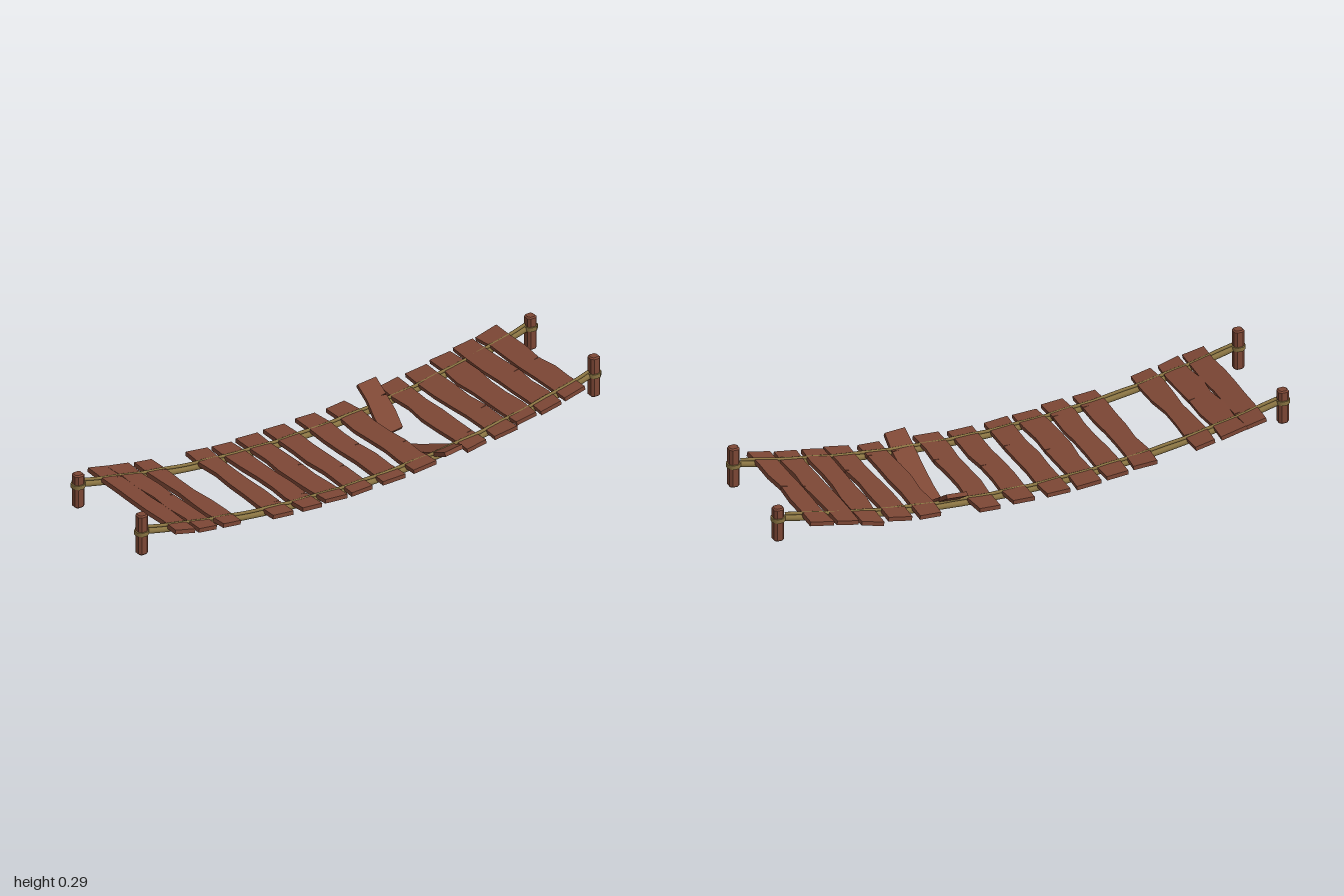
import * as THREE from 'three';

const wood = new THREE.MeshStandardMaterial({ color: 0x7d4735, flatShading: true });
wood.name = 'reddish wood';
const hemp = new THREE.MeshStandardMaterial({ color: 0x8a7442 });
hemp.name = 'olive rope';

// Small seeded generator giving values in -1..1
let seed = 11;
const jitter = (amount) => {
  seed = (seed * 16807) % 2147483647;
  return (seed / 2147483647 * 2 - 1) * amount;
};

const END = 0.973;
const sag = (x) => 0.125 * (x / END) ** 2;      // height gained toward the posts
const slope = (x) => 0.25 * x / END ** 2;
const frontZ = (x) => 0.207 - 0.03 * x;
const backZ = (x) => -0.195 - 0.03 * x;
const THICK = 0.016;

// Plank with wavy hewn sides, crooked ends and a narrow split in one side
function plankGeometry(width, length) {
  const steps = Math.max(3, Math.round(length / 0.09));
  const left = [], right = [];
  const split = 1 + Math.floor((jitter(0.5) + 0.5) * (steps - 1));
  for (let i = 0; i <= steps; i++) {
    const v = -length / 2 + length * i / steps;
    const end = i === 0 || i === steps;
    const a = end ? jitter(0.006) : 0;
    const b = end ? jitter(0.006) : 0;
    right.push(new THREE.Vector2(width / 2 + jitter(0.006), v + a));
    left.push(new THREE.Vector2(-width / 2 + jitter(0.006), v + b));
    if (i === split && !end) {
      const e = right[right.length - 1];
      right.push(new THREE.Vector2(e.x - 0.025, v + 0.002), new THREE.Vector2(e.x, v + 0.004));
    }
  }
  const shape = new THREE.Shape([...right, ...left.reverse()]);
  const g = new THREE.ExtrudeGeometry(shape, { depth: THICK, bevelEnabled: false });
  g.translate(0, 0, -THICK / 2);
  g.rotateX(Math.PI / 2);
  return g;
}

function addMesh(parent, name, geometry, material) {
  const m = new THREE.Mesh(geometry, material);
  m.name = name;
  parent.add(m);
  return m;
}

// Chamfered square post standing on its base
function postGeometry(height) {
  const h = 0.0195, c = 0.006, bevel = 0.005;
  const s = new THREE.Shape();
  const k = h - bevel;
  s.moveTo(k, -k + c); s.lineTo(k, k - c); s.lineTo(k - c, k); s.lineTo(-k + c, k);
  s.lineTo(-k, k - c); s.lineTo(-k, -k + c); s.lineTo(-k + c, -k); s.lineTo(k - c, -k);
  const g = new THREE.ExtrudeGeometry(s, {
    depth: height - 2 * bevel, bevelEnabled: true, bevelSize: bevel, bevelThickness: bevel, bevelSegments: 1,
  });
  g.translate(0, 0, bevel);
  g.rotateX(-Math.PI / 2);
  return g;
}

// Rope hanging between two posts
function ropeGeometry(zAt, base, radius, wobble, reach) {
  const pts = [];
  for (let i = 0; i <= 32; i++) {
    const x = -reach + 2 * reach * i / 32;
    pts.push(new THREE.Vector3(x, base + sag(x), zAt(x) + Math.sin(i * 1.9) * wobble));
  }
  return new THREE.TubeGeometry(new THREE.CatmullRomCurve3(pts), 96, radius, 8, false);
}

export function createModel() {
  const model = new THREE.Group();
  model.name = 'ropeBridge';

  // Whole planks: centre x, width, back end z, front end z
  const planks = [
    [-0.83, 0.085, -0.25, 0.29], [-0.74, 0.092, -0.25, 0.29], [-0.635, 0.08, -0.26, 0.28],
    [-0.41, 0.085, -0.26, 0.283], [-0.295, 0.088, -0.265, 0.278], [-0.185, 0.095, -0.27, 0.265],
    [-0.065, 0.09, -0.277, 0.263], [0.07, 0.088, -0.283, 0.257], [0.2, 0.09, -0.288, 0.255],
    [0.42, 0.085, -0.285, 0.255], [0.54, 0.09, -0.287, 0.253], [0.645, 0.09, -0.3, 0.24],
    [0.745, 0.088, -0.298, 0.247], [0.842, 0.085, -0.296, 0.24],
  ];
  for (const [x, w, z0, z1] of planks) {
    const p = addMesh(model, 'plank', plankGeometry(w, z1 - z0), wood);
    p.rotation.order = 'YZX';
    p.rotation.set(jitter(0.012), 0.03 + jitter(0.015), Math.atan(slope(x)) + jitter(0.02));
    p.position.set(x, 0.108 + sag(x), (z0 + z1) / 2);
  }

  // Snapped plank: two halves dangling from the ropes
  const halves = [
    ['brokenPlankFront', 0.318, 0.083, 0.11, 0.265, -0.045, 0.082, -0.425, 0.06],
    ['brokenPlankBack', 0.312, 0.08, 0.212, -0.1, -0.27, 0.122, 0.63, 0.02],
  ];
  for (const [name, x, w, , zA, zB, y, tilt, yaw] of halves) {
    const p = addMesh(model, name, plankGeometry(w, (zA - zB) / Math.cos(tilt)), wood);
    p.rotation.order = 'YXZ';
    p.rotation.set(tilt, yaw, 0.06);
    p.position.set(x, y, (zA + zB) / 2);
  }

  // Carrying ropes, with a thin lashing line over the planks
  for (const [side, zAt] of [['front', frontZ], ['back', backZ]]) {
    addMesh(model, side + 'Rope', ropeGeometry(zAt, 0.095, 0.0115, 0, END), hemp);
    addMesh(model, side + 'Lashing', ropeGeometry(zAt, 0.113, 0.006, 0.002, 0.95), hemp);
  }

  // Corner posts with rope collars
  for (const x of [-END, END]) {
    for (const [side, z, top] of [['front', frontZ(x), 0.29], ['back', backZ(x), 0.264]]) {
      const corner = new THREE.Group();
      corner.name = side + 'Post';
      corner.position.set(x, 0.132, z);
      addMesh(corner, 'post', postGeometry(top - 0.132), wood);
      const collar = new THREE.CylinderGeometry(0.027, 0.027, 0.016, 8);
      collar.rotateY(Math.PI / 8);
      addMesh(corner, 'ropeCollar', collar, hemp).position.y = 0.086;
      model.add(corner);
    }
  }
  return model;
}
